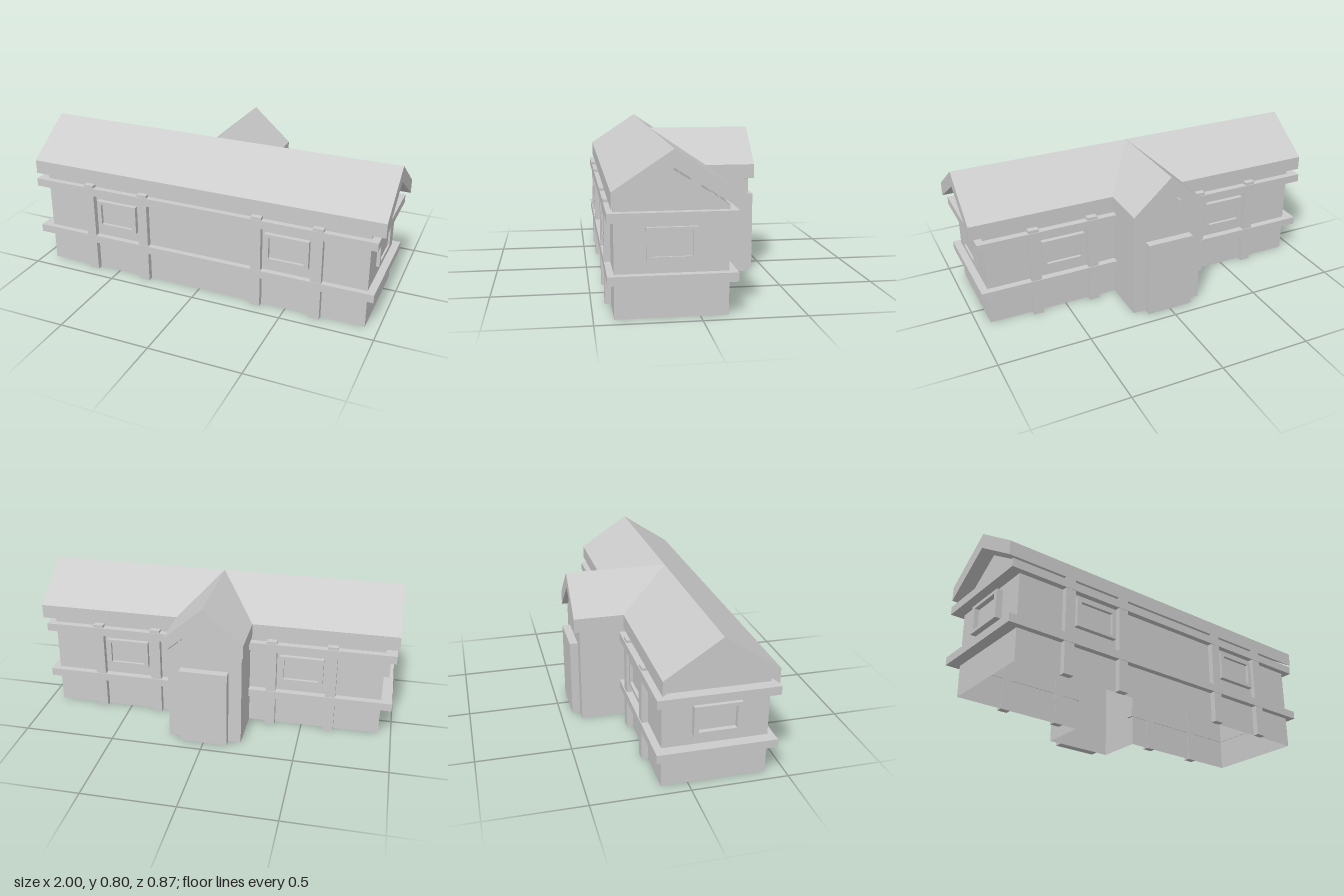
import * as THREE from 'three';

const grey = new THREE.MeshStandardMaterial({ color: 0xcccccc, flatShading: true });
const thin = new THREE.MeshStandardMaterial({ color: 0xcccccc, flatShading: true, side: THREE.DoubleSide });

// Body limits
const X = 0.93, FRONT = 0.403, BACK = -0.135, MID = 0.134;
const WING_X = 0.2, WING_Z = -0.39, EAVE = 0.527, APEX = 0.695;

export function createModel() {
  const house = new THREE.Group();
  house.name = 'house';

  const add = (name, geometry, material = grey, parent = house) => {
    const mesh = new THREE.Mesh(geometry, material);
    mesh.name = name;
    parent.add(mesh);
    return mesh;
  };
  // Box given by its limits on each axis
  const box = (name, x0, x1, y0, y1, z0, z1) => {
    const mesh = add(name, new THREE.BoxGeometry(x1 - x0, y1 - y0, z1 - z0));
    mesh.position.set((x0 + x1) / 2, (y0 + y1) / 2, (z0 + z1) / 2);
    return mesh;
  };
  const polygon = (points) => new THREE.Shape(points.map(([x, y]) => new THREE.Vector2(x, y)));

  // Walls follow a T-shaped plan, open below
  const plan = [
    [-X, FRONT], [X, FRONT], [X, BACK], [WING_X, BACK],
    [WING_X, WING_Z], [-WING_X, WING_Z], [-WING_X, BACK], [-X, BACK],
  ];
  const corners = [];
  plan.forEach(([x0, z0], i) => {
    const [x1, z1] = plan[(i + 1) % plan.length];
    corners.push(x0, 0, z0, x1, 0, z1, x1, EAVE, z1, x0, 0, z0, x1, EAVE, z1, x0, EAVE, z0);
  });
  const walls = new THREE.BufferGeometry();
  walls.setAttribute('position', new THREE.Float32BufferAttribute(corners, 3));
  walls.computeVertexNormals();
  add('walls', walls, thin);

  // Gable triangles over the two ends and the wing
  const gable = (name, halfWidth, x, z, turn) => {
    const shape = polygon([[-halfWidth, EAVE], [halfWidth, EAVE], [0, APEX]]);
    const mesh = add(name, new THREE.ShapeGeometry(shape), thin);
    mesh.position.set(x, 0, z);
    mesh.rotation.y = turn;
  };
  const halfDepth = (FRONT - BACK) / 2;
  gable('leftGable', halfDepth, X, MID, Math.PI / 2);
  gable('rightGable', halfDepth, -X, MID, -Math.PI / 2);
  gable('wingGable', WING_X, 0, WING_Z, Math.PI);

  // Roofs are chevrons pushed along their ridge
  const roof = (halfWidth, depth) => new THREE.ExtrudeGeometry(polygon([
    [-halfWidth, 0.53], [0, 0.711], [halfWidth, 0.53],
    [halfWidth, 0.607], [0, 0.795], [-halfWidth, 0.607],
  ]), { depth, bevelEnabled: false });

  const mainRoof = add('mainRoof', roof(0.284, 2));
  mainRoof.rotation.y = Math.PI / 2;
  mainRoof.position.set(-1, 0, 0.133);

  // The wing roof is mitred to run into the main slope
  const wingRoof = roof(0.212, 0.553);
  const p = wingRoof.attributes.position;
  for (let i = 0; i < p.count; i++) {
    if (p.getZ(i) > 0.3) p.setZ(i, 0.553 - 0.284 * Math.abs(p.getX(i)) / 0.212);
  }
  wingRoof.computeVertexNormals();
  add('wingRoof', wingRoof).position.z = -0.42;

  // Two bands of rail around the walls, broken by the wing
  for (const [y0, y1] of [[0.17, 0.214], [0.46, 0.505]]) {
    box('frontRail', -0.99, 0.97, y0, y1, FRONT - 0.003, 0.435);
    box('backRail', -0.99, -0.19, y0, y1, -0.173, BACK + 0.003);
    box('backRail', 0.19, 0.97, y0, y1, -0.173, BACK + 0.003);
    box('leftRail', X - 0.003, 0.97, y0, y1, BACK, FRONT);
    box('rightRail', -0.99, -X + 0.003, y0, y1, BACK, FRONT);
  }

  // Upright posts, front and back
  for (const x of [-0.653, -0.323, 0.337, 0.667]) {
    box('frontPost', x - 0.028, x + 0.028, 0, 0.52, FRONT - 0.003, 0.433);
    box('backPost', x - 0.028, x + 0.028, 0, 0.52, -0.168, BACK + 0.003);
  }

  // Windows: a raised frame around a recessed pane
  const frameShape = polygon([[-0.12, -0.078], [0.12, -0.078], [0.12, 0.078], [-0.12, 0.078]]);
  frameShape.holes.push(polygon([[-0.096, -0.06], [-0.096, 0.06], [0.096, 0.06], [0.096, -0.06]]));
  const windowAt = (name, x, z, turn, depth) => {
    const group = new THREE.Group();
    group.name = name;
    add('windowFrame', new THREE.ExtrudeGeometry(frameShape, { depth, bevelEnabled: false }), grey, group);
    add('windowPane', new THREE.BoxGeometry(0.2, 0.13, 0.008), grey, group).position.z = 0.004;
    group.position.set(x, 0.354, z);
    group.rotation.y = turn;
    house.add(group);
  };
  for (const x of [-0.488, 0.503]) {
    windowAt('frontWindow', x, FRONT, 0, 0.025);
    windowAt('backWindow', x, BACK, Math.PI, 0.025);
  }
  windowAt('leftWindow', X, 0.135, Math.PI / 2, 0.018);
  windowAt('rightWindow', -X, 0.135, -Math.PI / 2, 0.034);

  // Door on the wing
  box('door', -0.13, 0.13, 0, 0.43, -0.434, WING_Z + 0.003);

  return house;
}
